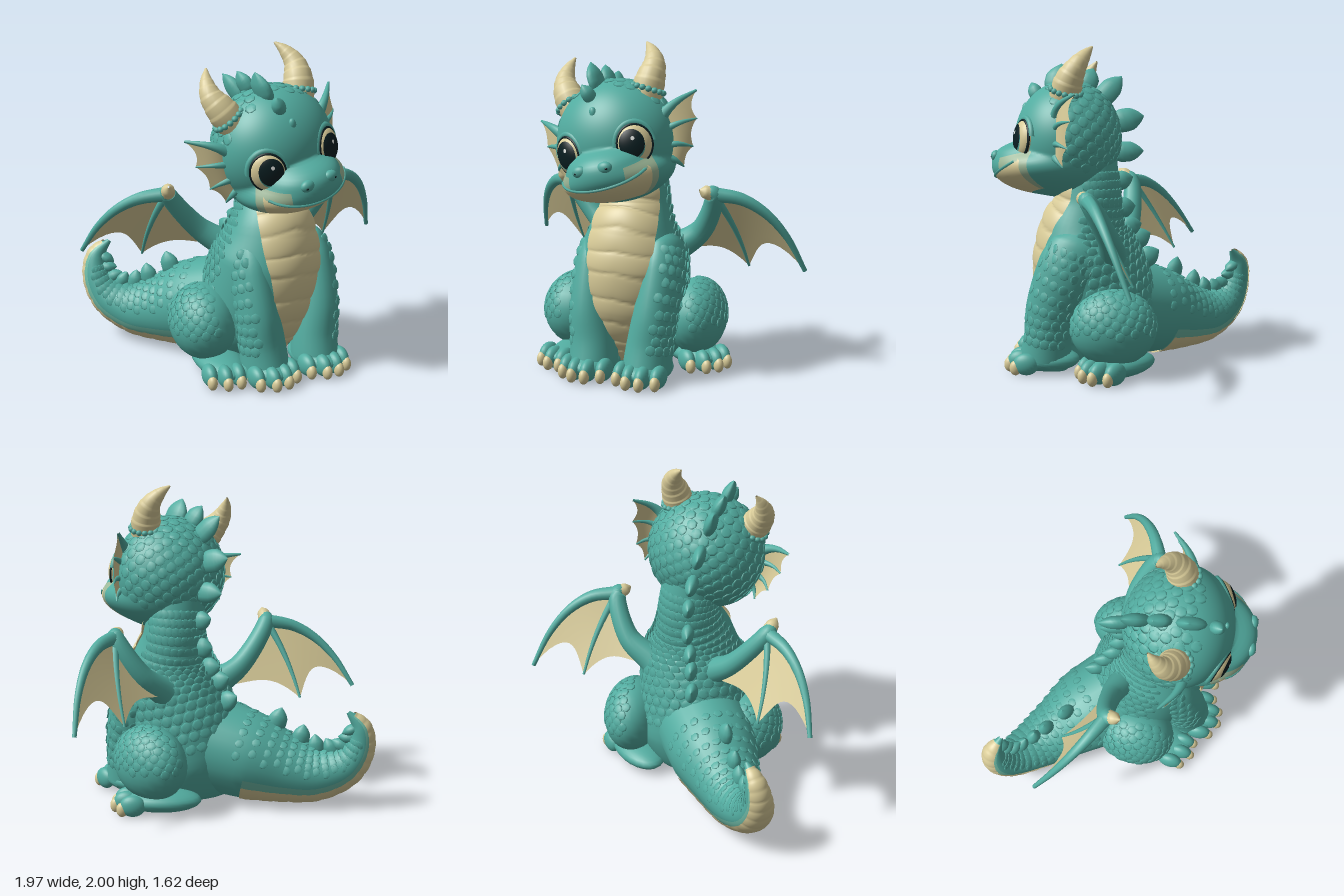
import * as THREE from 'three';
import { mergeGeometries, mergeVertices } from 'three/addons/utils/BufferGeometryUtils.js';

const mat = (name, color, side = THREE.FrontSide) => {
  const m = new THREE.MeshStandardMaterial({ color, side });
  m.name = name;
  return m;
};
const V = (a) => new THREE.Vector3(...a);
const X = [1, 0, 0], Z = [0, 0, 1];

export function createModel() {
  const teal = mat('teal skin', 0x52aca0);
  const cream = mat('cream horn and belly', 0xd8cb98, THREE.DoubleSide);
  const paleTeal = mat('pale teal edge', 0x70bda9);
  const cheek = mat('cheek blend', 0x9db898);
  const dark = mat('dark eye', 0x0a1f22);
  const white = mat('eye glint', 0xf4f6f2);
  const root = new THREE.Group();
  root.name = 'dragon';

  const add = (name, geo, m, parent = root) => {
    const mesh = new THREE.Mesh(geo, m);
    mesh.name = name;
    parent.add(mesh);
    return mesh;
  };
  const ball = (name, c, r, m, parent = root, detail = 24) => {
    const b = add(name, new THREE.SphereGeometry(1, detail, Math.round(detail * 0.67)), m, parent);
    b.position.set(...c);
    b.scale.set(...r);
    return b;
  };

  // A centre line with elliptical radii: points are [x, y, z, sideRadius, depthRadius]
  const track = (pts, side) => {
    const line = new THREE.CatmullRomCurve3(pts.map((p) => V(p.slice(0, 3))));
    const radii = new THREE.CatmullRomCurve3(pts.map((p) => new THREE.Vector3(p[3], p[4] ?? p[3], 0)));
    return (t) => {
      const T = line.getTangent(t), S = V(side);
      S.addScaledVector(T, -S.dot(T)).normalize();
      const N = S.clone().cross(T), r = radii.getPoint(t), c = line.getPoint(t);
      const at = (a, grow = 0) => c.clone()
        .addScaledVector(S, Math.cos(a) * (Math.max(r.x, 0.002) + grow))
        .addScaledVector(N, Math.sin(a) * (Math.max(r.y, 0.002) + grow));
      return { c, N, at };
    };
  };
  // Skin over a track, either closed or as a strip centred on one angle
  const skin = (tr, { rings = 24, sides = 16, t0 = 0, t1 = 1, mid = 0, half = null, grow = () => 0 } = {}) => {
    const pos = [], idx = [], closed = !half, w = closed ? sides : sides + 1;
    for (let i = 0; i <= rings; i++) {
      const t = t0 + (t1 - t0) * i / rings, f = tr(t);
      for (let j = 0; j < w; j++) {
        const a = closed ? j / sides * Math.PI * 2 : mid + half(t) * (2 * j / sides - 1);
        pos.push(...f.at(a, grow(t, a)));
        if (i < rings && j < sides) {
          const k = i * w + j, n = i * w + (j + 1) % w;
          idx.push(k, k + w, n, n, k + w, n + w);
        }
      }
    }
    return surface(pos, idx);
  };
  const surface = (pos, idx) => {
    const g = new THREE.BufferGeometry();
    g.setAttribute('position', new THREE.Float32BufferAttribute(pos, 3));
    g.setIndex(idx);
    g.computeVertexNormals();
    return g;
  };
  const loft = (name, pts, side, m, parent, opt) => add(name, skin(track(pts, side), opt), m, parent);
  const spike = (base, tip, wide, side, parent) => {
    const p = (k, s) => [...V(base).lerp(V(tip), k), 0.04 * s, wide * s];
    loft('backSpike', [p(-0.3, 0.5), p(0.15, 1), p(0.5, 0.95), p(0.8, 0.55), p(1, 0.03)], side, teal, parent, { rings: 10, sides: 12 });
  };
  // Thin web between two curves, with a scalloped free edge
  const web = (name, A, B, dip, parent) => {
    const pos = [], idx = [], n = 12;
    for (let i = 0; i <= n; i++) for (let j = 0; j <= n; j++) {
      const v = j / n, u = i / n * (1 - dip * 4 * v * (1 - v));
      pos.push(...A.getPoint(u).lerp(B.getPoint(u), v));
      if (i < n && j < n) {
        const k = i * (n + 1) + j;
        idx.push(k, k + n + 1, k + 1, k + 1, k + n + 1, k + n + 2);
      }
    }
    add(name, surface(pos, idx), cream, parent);
  };
  // Low rounded scales at [position, normal] spots
  const scales = (name, spots, size, parent) => add(name, mergeGeometries(spots.map(([p, n]) => {
    const q = new THREE.Quaternion().setFromUnitVectors(V(Z), n);
    return new THREE.SphereGeometry(1, 7, 4).applyMatrix4(
      new THREE.Matrix4().compose(p, q, new THREE.Vector3(size, size, size * 0.17)));
  })), teal, parent);
  const trackSpots = (tr, t0, t1, rows, cols, a0, a1) => {
    const out = [];
    for (let i = 0; i < rows; i++) for (let j = 0; j < cols; j++) {
      const f = tr(t0 + (t1 - t0) * i / rows), a = a0 + (a1 - a0) * (j + (i % 2) / 2) / cols, p = f.at(a);
      out.push([p, p.clone().sub(f.c).normalize()]);
    }
    return out;
  };
  const sphereDirs = (n) => Array.from({ length: n }, (_, i) => {
    const y = 1 - 2 * (i + 0.5) / n, r = Math.sqrt(1 - y * y), a = i * 2.39996;
    return new THREE.Vector3(r * Math.cos(a), y, r * Math.sin(a));
  });

  // Torso and neck with plated belly
  const torso = track([[-0.07, 0.01, 0.06, 0.002, 0.002], [-0.07, 0.04, 0.06, 0.25, 0.2], [-0.07, 0.25, 0.08, 0.36, 0.32],
    [-0.04, 0.5, 0.15, 0.35, 0.36], [-0.01, 0.72, 0.2, 0.34, 0.33], [0, 0.88, 0.21, 0.27, 0.27], [0.01, 1.05, 0.18, 0.2, 0.2],
    [0, 1.2, 0.18, 0.185, 0.18], [-0.03, 1.35, 0.21, 0.2, 0.19]], X);
  add('torso', skin(torso, { rings: 48, sides: 40 }), teal);
  add('belly', skin(torso, { rings: 150, sides: 20, t0: 0.16, t1: 0.88, mid: Math.PI / 2 - 0.09,
    half: (t) => 0.3 + 0.72 * THREE.MathUtils.smoothstep(t, 0.28, 0.82),
    grow: (t, a) => 0.006 + 0.013 * Math.abs(Math.sin((t + 0.025 * Math.abs(a - 1.48)) * 14 * Math.PI)) ** 0.35 }), cream);
  scales('torsoScales', trackSpots(torso, 0.3, 0.9, 17, 16, Math.PI * 0.98, Math.PI * 2.02), 0.036);

  // Tail, curling up at the tip
  const side = [0.7071, 0, -0.7071];
  const tail = track([[-0.13, 0.36, 0.02, 0.3], [-0.3, 0.3, -0.2, 0.28], [-0.45, 0.235, -0.38, 0.215], [-0.58, 0.21, -0.53, 0.165],
    [-0.7, 0.27, -0.66, 0.12], [-0.755, 0.4, -0.73, 0.085], [-0.74, 0.53, -0.745, 0.058], [-0.67, 0.63, -0.7, 0.012]], side);
  add('tail', skin(tail, { rings: 48, sides: 28 }), teal);
  add('tailEdge', skin(tail, { rings: 50, sides: 20, t0: 0.16, t1: 0.96, mid: -Math.PI / 2, half: () => 1.24, grow: () => 0.004 }), paleTeal);
  add('tailBelly', skin(tail, { rings: 110, sides: 20, t0: 0.16, t1: 0.96, mid: -Math.PI / 2, half: () => 1.02,
    grow: (t) => 0.006 + 0.006 * Math.abs(Math.sin(t * 18 * Math.PI)) ** 0.35 }), cream);
  scales('tailScales', trackSpots(tail, 0.12, 0.8, 15, 10, 0.2, 3), 0.03);
  for (const t of [0.2, 0.32, 0.44, 0.55, 0.66, 0.77, 0.87]) {
    const f = tail(t), top = f.at(Math.PI / 2, -0.02);
    spike(top, top.clone().addScaledVector(f.N, 0.14 - 0.06 * t), 0.068 - 0.04 * t, side);
  }
  // Spikes down the back of the neck and body
  for (const [t, w] of [[0.84, 0.06], [0.73, 0.065], [0.62, 0.065], [0.51, 0.065], [0.41, 0.065]]) {
    const f = torso(t), b = f.at(-Math.PI / 2 - 0.3, -0.02), d = b.clone().sub(f.c).normalize();
    spike(b, b.clone().addScaledVector(d, 0.11).add(new THREE.Vector3(0, 0.03, 0)), w, X);
  }

  // Feet with four clawed toes
  const foot = (name, x, z, yaw, heel) => {
    const g = new THREE.Group();
    g.name = name;
    g.position.set(x, 0, z);
    g.rotation.y = yaw;
    root.add(g);
    ball('footPad', [0, 0.083, 0.08 - heel / 2], [0.145, 0.073, 0.11 + heel / 2], teal, g);
    for (const i of [-1.5, -0.5, 0.5, 1.5]) {
      const tz = 0.14 - 0.024 * i * i;
      ball('toe', [i * 0.08, 0.075, tz], [0.045, 0.068, 0.08], teal, g);
      ball('claw', [i * 0.083, 0.052, tz + 0.065], [0.03, 0.046, 0.036], cream, g);
    }
  };
  for (const s of [1, -1]) {
    const n = s > 0 ? 'left' : 'right', k = s > 0 ? 1 : -0.87;
    const leg = track([[0.2 * k, 0.9, 0.2, 0.02, 0.03], [0.22 * k, 0.8, 0.23, 0.1, 0.16], [0.235 * k, 0.65, 0.29, 0.125, 0.19],
      [0.225 * k, 0.42, 0.39, 0.13, 0.16], [0.2 * k, 0.22, 0.42, 0.14, 0.15], [0.19 * k, 0.08, 0.44, 0.145, 0.16],
      [0.19 * k, 0.03, 0.45, 0.1, 0.12], [0.19 * k, 0.015, 0.45, 0.002, 0.002]], [-1, 0, 0]);
    add(n + 'FrontLeg', skin(leg, { rings: 36, sides: 24 }), teal);
    const a = s > 0 ? Math.PI : 0;
    scales(n + 'LegScales', trackSpots(leg, 0.2, 0.62, 9, 6, a - 1.1, a + 1.1), 0.032);
    foot(n + 'FrontFoot', 0.19 * k, 0.455, 0, 0.2);
  }
  const thighs = [['left', [0.33, 0.32, 0], [0.185, 0.235, 0.265], 0.15], ['right', [-0.42, 0.32, 0.13], [0.21, 0.235, 0.25], -0.1]];
  for (const [n, c, r, yaw] of thighs) {
    ball(n + 'Thigh', c, r, teal).rotation.y = yaw;
    const rv = V(r), up = new THREE.Vector3(0, 1, 0);
    scales(n + 'ThighScales', sphereDirs(230).filter((d) => d.x * c[0] > 0 && d.y > -0.1).map((d) => [
      d.clone().multiply(rv).applyAxisAngle(up, yaw).add(V(c)), d.clone().divide(rv).normalize().applyAxisAngle(up, yaw)]), 0.031);
  }
  foot('leftHindFoot', 0.34, 0.01, 0.85, 0.3);
  foot('rightHindFoot', -0.38, 0.31, -0.15, 0.38);

  // Wings: arm, two fingers, webs and a wrist claw
  const wing = (n, shoulder, elbow, wrist, tip, bulge, rib, heel, claw) => {
    const g = new THREE.Group();
    g.name = n;
    root.add(g);
    const curve = (a, b, c) => new THREE.QuadraticBezierCurve3(V(a), V(b), V(c));
    const ribMid = V(wrist).lerp(V(rib), 0.5).add(new THREE.Vector3(Math.sign(rib[0]) * 0.04, 0.03, 0)).toArray();
    const edge = curve(wrist, bulge, tip), inner = curve(wrist, ribMid, rib), arm = curve(wrist, elbow, heel);
    loft('wingArm', [[...shoulder, 0.09], [...elbow, 0.068], [...wrist, 0.053], [...V(wrist).lerp(V(claw), 0.5), 0.035]], Z, teal, g);
    const finger = (c, r) => loft('wingFinger', [0, 0.25, 0.5, 0.75, 1].map((t) => [...c.getPoint(t), r * (1 - t * 0.7)]), Z, teal, g, { rings: 20, sides: 10 });
    finger(edge, 0.045);
    finger(inner, 0.026);
    loft('wingClaw', [[...V(wrist).lerp(V(claw), 0.2), 0.045], [...V(wrist).lerp(V(claw), 0.65), 0.038], [...claw, 0.006]], Z, cream, g, { rings: 8, sides: 12 });
    web('outerWeb', edge, inner, 0.24, g);
    web('innerWeb', inner, arm, 0.16, g);
  };
  wing('leftWing', [0.2, 0.74, 0.02], [0.37, 0.87, 0.03], [0.485, 1.11, 0.14], [0.97, 0.63, -0.15], [0.82, 1.12, 0.04],
    [0.615, 0.63, -0.14], [0.29, 0.74, -0.04], [0.42, 1.14, 0.2]);
  wing('rightWing', [-0.2, 0.74, 0.02], [-0.36, 0.86, -0.04], [-0.57, 1.11, -0.03], [-0.97, 0.7, -0.43], [-0.87, 1.1, -0.2],
    [-0.615, 0.65, -0.32], [-0.3, 0.74, -0.07], [-0.6, 1.18, 0.05]);

  // Head: cranium, muzzle and jaw blended along rays from the centre
  const head = new THREE.Group();
  head.name = 'head';
  head.position.set(-0.05, 1.42, 0.32);
  head.rotation.set(0, 0.05, 0.22);
  root.add(head);
  const lobes = [[[0, 0.01, 0], [0.37, 0.36, 0.33]], [[0, -0.13, 0.2], [0.25, 0.13, 0.27]], [[0, -0.19, 0.11], [0.325, 0.145, 0.34]]];
  const onHead = (x, y, z) => {
    const d = new THREE.Vector3(x, y, z).normalize();
    let sum = 0;
    for (const [c, r] of lobes) {
      const e = d.clone().divide(V(r)), o = V(c).divide(V(r)), A = e.lengthSq(), B = e.dot(o), D = B * B - A * (o.lengthSq() - 1);
      if (D > 0) sum += Math.max(0, (B + Math.sqrt(D)) / A) ** 16;
    }
    return d.multiplyScalar(sum ** (1 / 16));
  };
  const mouth = (f) => -0.52 + 0.2 * f * f;
  let hg = new THREE.SphereGeometry(1, 140, 96);
  hg.deleteAttribute('uv');
  hg.deleteAttribute('normal');
  hg = mergeVertices(hg);
  const hp = hg.attributes.position;
  for (let i = 0; i < hp.count; i++) hp.setXYZ(i, ...onHead(hp.getX(i), hp.getY(i), hp.getZ(i)));
  const buckets = [[], [], []], hi = hg.index.array;
  for (let i = 0; i < hi.length; i += 3) {
    const c = new THREE.Vector3();
    for (let k = 0; k < 3; k++) c.add(new THREE.Vector3().fromBufferAttribute(hp, hi[i + k]).divideScalar(3));
    const f = Math.abs(Math.atan2(c.x, c.z)), e = c.y / Math.hypot(c.x, c.z);
    const b = f < 0.8 && e < mouth(f) && e > -1.5 ? 1 : f > 0.4 && f < 0.95 && e < -0.3 && e > -1.5 ? 2 : 0;
    buckets[b].push(hi[i], hi[i + 1], hi[i + 2]);
  }
  hg.setIndex(buckets.flat());
  let start = 0;
  buckets.forEach((b, i) => { hg.addGroup(start, b.length, i); start += b.length; });
  hg.computeVertexNormals();
  add('skull', hg, [teal, cream, cheek], head);
  const smile = Array.from({ length: 13 }, (_, i) => (i - 6) * 0.12).map((f) => onHead(Math.sin(f), mouth(f) + 0.01, Math.cos(f)));
  add('upperLip', new THREE.TubeGeometry(new THREE.CatmullRomCurve3(smile), 40, 0.009, 6), teal, head);
  scales('headScales', sphereDirs(330).filter((d) => d.y > -0.6 && d.z < 0.05 + 0.3 * Math.max(0, d.y))
    .map((d) => [onHead(d.x, d.y, d.z), d]), 0.036, head);

  // Crest plates from brow to nape: [baseY, baseZ, tipY, tipZ, width]
  for (const [y0, z0, y1, z1, w] of [[0.28, 0.2, 0.37, 0.24, 0.045], [0.33, 0.07, 0.49, 0.05, 0.09], [0.34, -0.1, 0.46, -0.15, 0.07],
    [0.27, -0.21, 0.41, -0.33, 0.07], [0.12, -0.31, 0.16, -0.47, 0.075], [-0.07, -0.31, -0.06, -0.47, 0.065]])
    spike([-0.025, y0, z0], [-0.05, y1, z1], w, X, head);
  ball('browScale', [0, 0.2, 0.27], [0.022, 0.035, 0.02], teal, head);

  for (const s of [1, -1]) {
    // Ridged horn with a beaded collar
    const horn = track([[s * 0.22, 0.21, 0.01, 0.095], [s * 0.27, 0.32, -0.02, 0.087], [s * 0.295, 0.41, -0.07, 0.063],
      [s * 0.275, 0.485, -0.12, 0.036], [s * 0.24, 0.54, -0.16, 0.006]], Z);
    add('horn', skin(horn, { rings: 60, sides: 20, grow: (t) => 0.007 * ((t * 8) % 1) * (1 - t) }), cream, head);
    for (let i = 0; i < 16; i++) ball('hornBead', horn(0.13).at(i / 16 * Math.PI * 2, 0.003), [0.02, 0.018, 0.02], teal, head, 9);

    // Finned ear: [baseY, tipX, tipY, tipZ, midX, midY] for each spine
    const fins = [[0.1, 0.515, 0.205, -0.08, 0.4, 0.17], [0.02, 0.495, 0.045, -0.05, 0.42, 0.05], [-0.07, 0.445, -0.11, -0.03, 0.4, -0.07],
      [-0.15, 0.375, -0.215, 0, 0.36, -0.17]].map(([b, x, y, z, mx, my]) =>
      new THREE.QuadraticBezierCurve3(new THREE.Vector3(s * 0.325, b, 0.05), new THREE.Vector3(s * mx, my, 0.045), new THREE.Vector3(s * x, y, z)));
    fins.forEach((c, i) => {
      loft('earSpine', [0, 0.3, 0.6, 1].map((t) => [...c.getPoint(t), (i ? 0.024 : 0.036) * (1 - 0.8 * t)]), Z, teal, head, { rings: 12, sides: 10 });
      if (i) web('earWeb', fins[i - 1], c, 0.13, head);
    });

    // Eye made of nested caps
    const eye = new THREE.Group();
    eye.name = 'eye';
    eye.position.copy(onHead(s * 0.222, -0.02, 0.27)).multiplyScalar(0.94);
    eye.rotation.y = s * 0.5;
    head.add(eye);
    const cap = (name, ang, r, dx, dy, m) => {
      const c = add(name, new THREE.SphereGeometry(r, 28, 10, 0, Math.PI * 2, 0, ang).rotateX(Math.PI / 2 - dy).rotateY(dx), m, eye);
      c.scale.set(0.105, 0.115, 0.06);
    };
    cap('eyeball', Math.PI / 2, 1, 0, 0, cream);
    cap('iris', 0.78, 1.015, -s * 0.24, -0.04, teal);
    cap('pupil', 0.76, 1.04, -s * 0.24, 0.08, dark);
    cap('glint', 0.1, 1.07, -s * 0.2 + 0.1, 0.3, white);
    add('eyeRim', new THREE.TorusGeometry(0.1, 0.009, 8, 32).scale(1, 1.1, 1).translate(0, 0, 0.014), dark, eye);
    add('eyelid', new THREE.TorusGeometry(0.113, 0.018, 8, 24, Math.PI).scale(1, 1.1, 1), teal, eye);

    // Nostrils
    const n = onHead(s * 0.075, -0.105, 0.42);
    ball('nostrilBump', n.clone().multiplyScalar(0.97), [0.045, 0.035, 0.03], teal, head);
    ball('nostril', n.clone().multiplyScalar(1.015).add(new THREE.Vector3(s * 0.014, 0, 0)), [0.01, 0.008, 0.009], dark, head);
  }
  return root;
}
